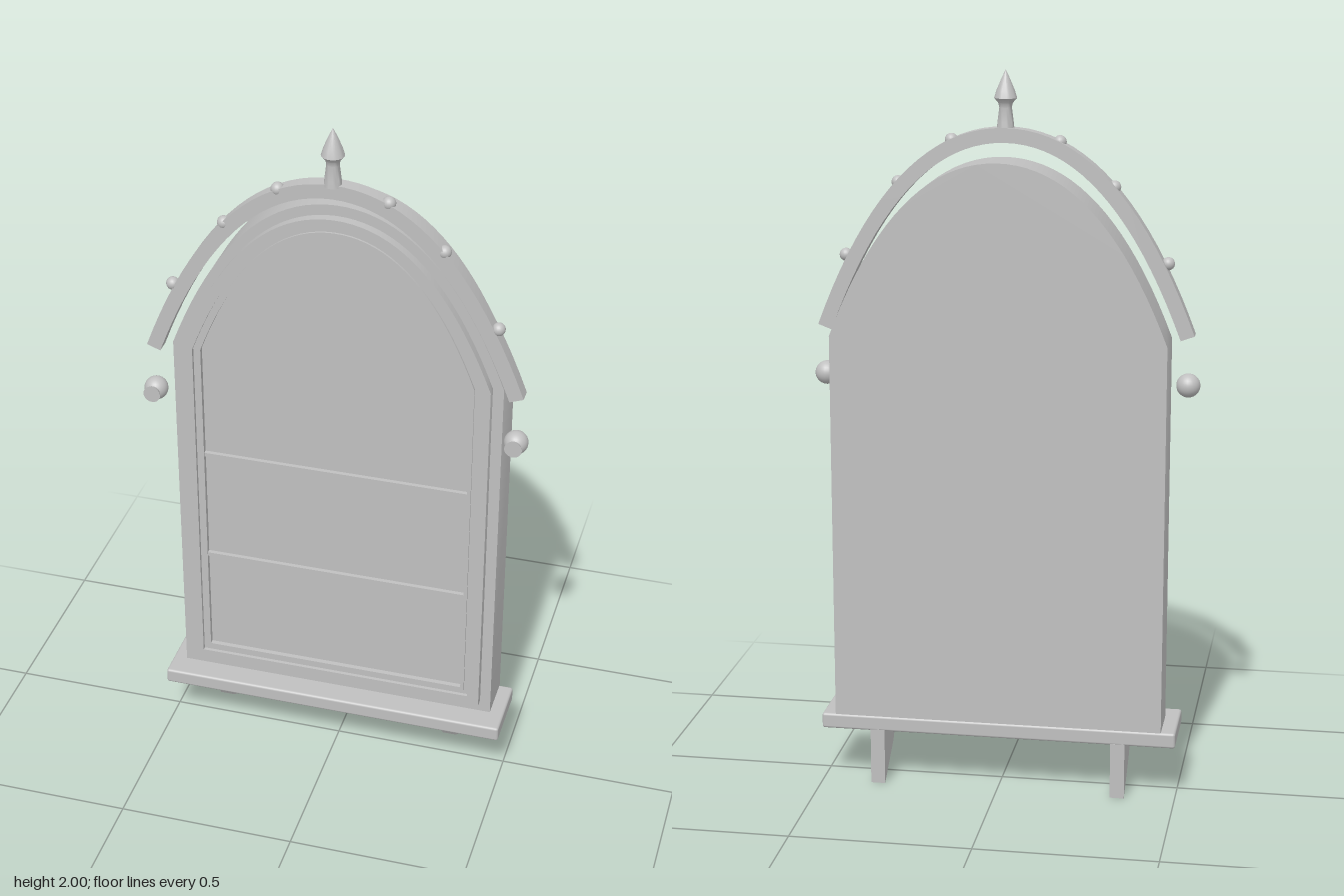
import * as THREE from 'three';
import { toCreasedNormals } from 'three/addons/utils/BufferGeometryUtils.js';
import { RoundedBoxGeometry } from 'three/addons/geometries/RoundedBoxGeometry.js';

const SPRING = 1.29; // height where the arch starts

// Closed outline: straight sides below, arched top
function archPath(Type, halfWidth, bottom, apex) {
  const p = new Type();
  p.moveTo(-halfWidth, bottom);
  p.lineTo(halfWidth, bottom);
  p.lineTo(halfWidth, SPRING);
  p.quadraticCurveTo(halfWidth * 0.6, apex, 0, apex);
  p.quadraticCurveTo(-halfWidth * 0.6, apex, -halfWidth, SPRING);
  p.lineTo(-halfWidth, bottom);
  return p;
}

function extrude(shape, z0, z1) {
  const geo = new THREE.ExtrudeGeometry(shape, { depth: z1 - z0, bevelEnabled: false, curveSegments: 20 });
  geo.translate(0, 0, z0);
  return toCreasedNormals(geo, 0.4);
}

export function createModel() {
  const model = new THREE.Group();
  model.name = 'archedWindow';
  const stone = new THREE.MeshStandardMaterial({ color: 0xc0c0c0 });
  stone.name = 'stone grey';

  const add = (name, geo, x = 0, y = 0, z = 0) => {
    const mesh = new THREE.Mesh(geo, stone);
    mesh.name = name;
    mesh.position.set(x, y, z);
    model.add(mesh);
    return mesh;
  };

  // Solid arched body
  add('body', extrude(archPath(THREE.Shape, 0.46, 0.2, 1.77), -0.1, 0.03));

  // Stepped frame rings: half width, bottom and apex, outer then inner
  const rings = [
    ['outerFrame', [0.43, 0.237, 1.74], [0.397, 0.265, 1.71], 0.056],
    ['middleFrame', [0.397, 0.265, 1.71], [0.385, 0.28, 1.70], 0.046],
    ['innerFrame', [0.385, 0.28, 1.70], [0.375, 0.29, 1.69], 0.052],
  ];
  for (const [name, outer, inner, front] of rings) {
    const shape = archPath(THREE.Shape, ...outer);
    shape.holes.push(archPath(THREE.Path, ...inner));
    add(name, extrude(shape, 0.025, front));
  }

  // Pane and crossbars
  add('pane', extrude(archPath(THREE.Shape, 0.376, 0.289, 1.691), 0.025, 0.038));
  for (const y of [0.61, 0.95]) add('crossbar', new THREE.BoxGeometry(0.75, 0.012, 0.02), 0, y, 0.04);

  // Sill
  add('sill', new RoundedBoxGeometry(1.0, 0.044, 0.2, 2, 0.007), 0, 0.178, 0);

  // Brackets under the sill, drawn as a side profile
  const profile = new THREE.Shape();
  profile.moveTo(0.1, 0);
  profile.lineTo(0.1, 0.16);
  profile.lineTo(-0.068, 0.16);
  profile.lineTo(-0.02, 0.085);
  profile.lineTo(0.1, 0);
  const bracketGeo = new THREE.ExtrudeGeometry(profile, { depth: 0.04, bevelEnabled: false });
  bracketGeo.translate(0, 0, -0.02);
  bracketGeo.rotateY(Math.PI / 2);
  for (const s of [-1, 1]) add('bracket', bracketGeo, s * 0.34, 0, 0);

  // Floating hood band, offset to both sides of an arched centre line
  const half = new THREE.QuadraticBezierCurve(
    new THREE.Vector2(0, 1.827), new THREE.Vector2(0.3, 1.827), new THREE.Vector2(0.502, 1.288));
  const offset = (t, d) => {
    const p = half.getPoint(t), v = half.getTangent(t);
    return new THREE.Vector2(p.x - v.y * d, p.y + v.x * d);
  };
  const edge = (d) => {
    const right = [];
    for (let i = 0; i <= 20; i++) right.push(offset(i / 20, d));
    const left = right.slice(1).reverse().map((p) => new THREE.Vector2(-p.x, p.y));
    return [...left, ...right];
  };
  add('hood', extrude(new THREE.Shape([...edge(0.02), ...edge(-0.02).reverse()]), 0.03, 0.07));

  // Beads along the hood
  const beadGeo = new THREE.SphereGeometry(0.018, 20, 14);
  add('bead', beadGeo, 0, 1.847, 0.055);
  for (const [x, y] of [[0.148, 1.81], [0.296, 1.692], [0.444, 1.488]]) {
    for (const s of [-1, 1]) add('bead', beadGeo, s * x, y, 0.055);
  }

  // Pointed finial
  const finial = [[0, 1.84], [0.024, 1.84], [0.022, 1.86], [0.017, 1.9], [0.02, 1.912], [0.031, 1.925],
    [0.025, 1.945], [0.01, 1.98], [0, 2]].map(([r, y]) => new THREE.Vector2(r, y));
  add('finial', toCreasedNormals(new THREE.LatheGeometry(finial, 24), 0.6), 0, 0, 0.055);

  // Side bosses with a flared button at the front
  const ballGeo = new THREE.SphereGeometry(0.033, 24, 16);
  const buttonGeo = new THREE.CylinderGeometry(0.024, 0.016, 0.02, 24);
  buttonGeo.rotateX(Math.PI / 2);
  for (const s of [-1, 1]) {
    add('sideBall', ballGeo, s * 0.504, 1.153, 0.058);
    add('sideButton', buttonGeo, s * 0.504, 1.153, 0.087);
  }
  return model;
}
